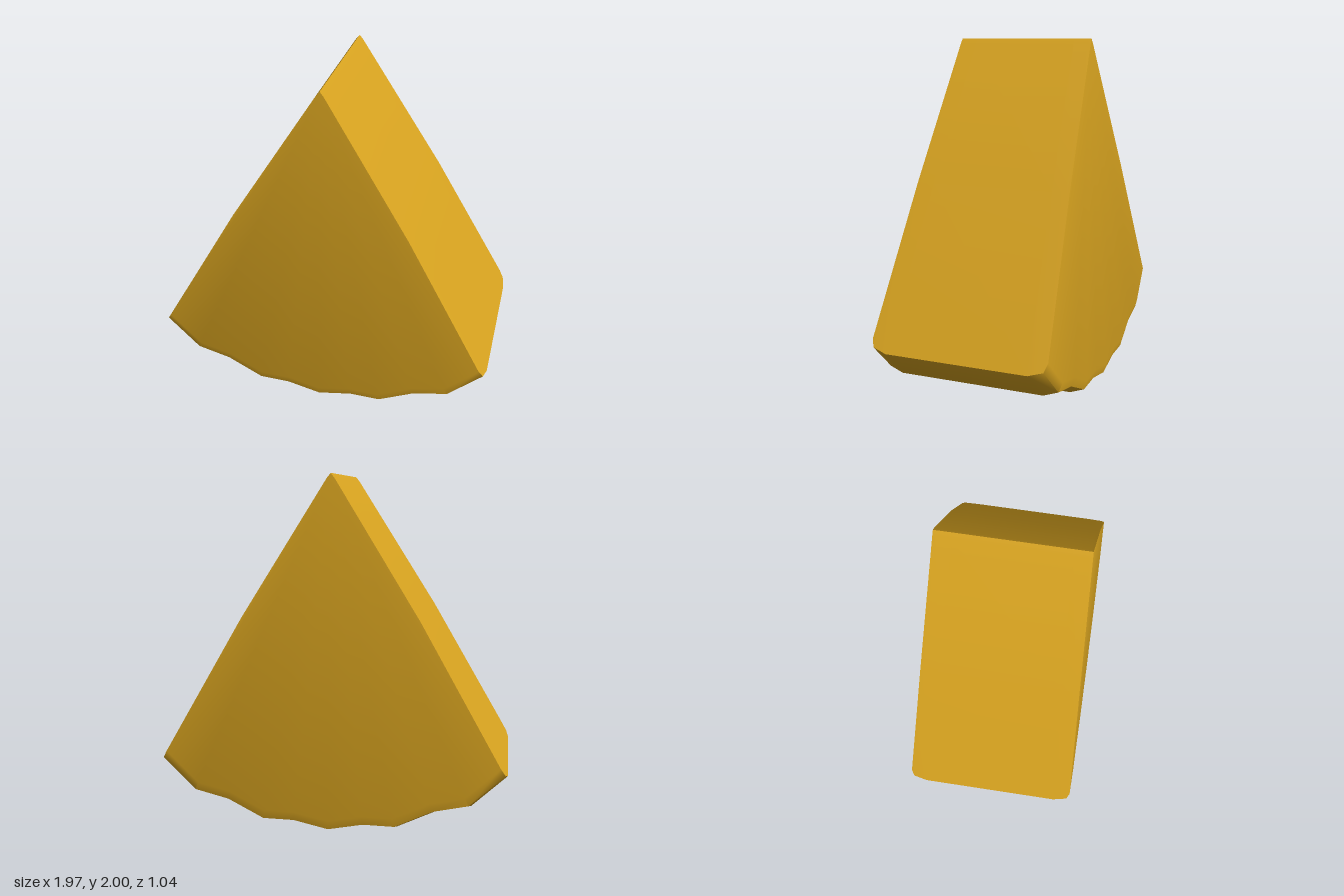
import * as THREE from 'three';
import { toCreasedNormals } from 'three/addons/utils/BufferGeometryUtils.js';

export function createModel() {
  const gold = new THREE.MeshStandardMaterial({ color: 0xdaa520 });
  gold.name = 'golden yellow';

  // Right half of the outline from the bottom centre to the tip: [x, y, onRim]
  const half = [
    [0, 0.005, 1], [0.2, 0.045, 1], [0.38, 0.045, 1], [0.59, 0.145, 1], [0.79, 0.19, 1],
    [0.985, 0.37, 1], [0.5, 1.21, 0], [0.022, 1.972, 0], [0, 2, 0],
  ];
  // Full outline, counterclockwise from the tip
  const mirrored = half.slice(1, -1).reverse().map(([x, y, r]) => [-x, y, r]);
  const outline = [half[half.length - 1], ...mirrored, ...half.slice(0, -1)];
  const n = outline.length;

  // Layers from front to back: rim scale about the tip, depth below the face, side
  const bevel = [[0.96, 0], [0.986, 0.018], [1, 0.1]];
  const layers = [
    ...bevel.map(([f, d]) => [f, d, 1]),
    ...bevel.slice().reverse().map(([f, d]) => [f, d, -1]),
  ];

  const positions = [];
  for (const [f, d, side] of layers) {
    for (const [x, y, rim] of outline) {
      const s = rim ? f : 1;
      const py = 2 - (2 - y) * s;
      const faceZ = 0.4 + 0.063 * (2 - py); // the wedge thickens downwards
      positions.push(x * s, py, side * (faceZ - d));
    }
  }

  const index = [];
  // Flat front and back faces, fanned from the tip
  const back = (layers.length - 1) * n;
  for (let i = 1; i < n - 1; i++) {
    index.push(0, i, i + 1);
    index.push(back, back + i + 1, back + i);
  }
  // Side walls and rounded scalloped rim
  for (let k = 0; k < layers.length - 1; k++) {
    for (let i = 0; i < n; i++) {
      const a = k * n + i;
      const b = k * n + ((i + 1) % n);
      index.push(a, a + n, b, b, a + n, b + n);
    }
  }

  const geometry = new THREE.BufferGeometry();
  geometry.setAttribute('position', new THREE.Float32BufferAttribute(positions, 3));
  geometry.setIndex(index);

  const wedge = new THREE.Mesh(toCreasedNormals(geometry, 0.95), gold);
  wedge.name = 'scallopedWedge';

  const group = new THREE.Group();
  group.name = 'wedge';
  group.add(wedge);
  return group;
}
